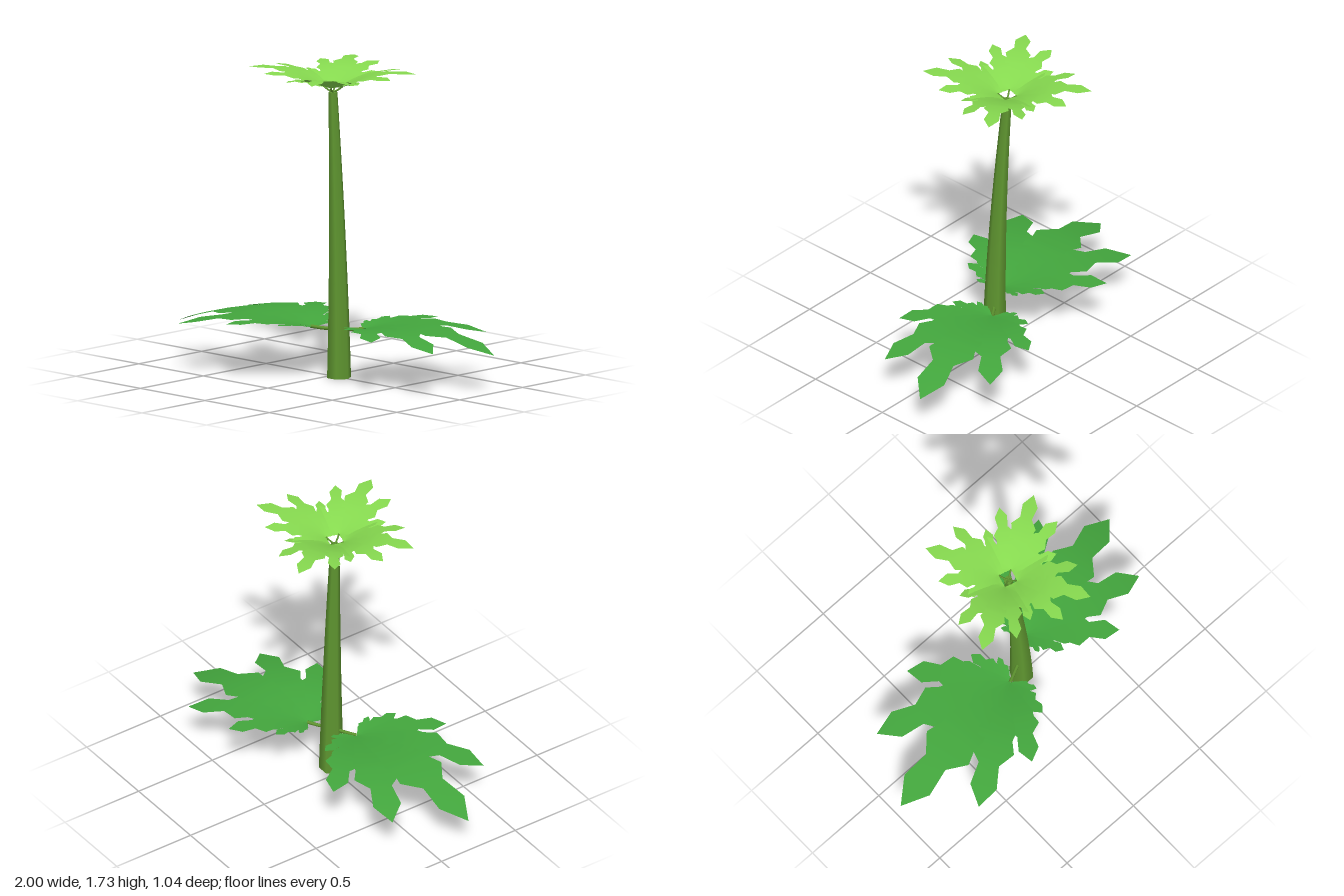
import * as THREE from 'three';

const rad = THREE.MathUtils.degToRad;
const material = (color, extra = {}) =>
  new THREE.MeshStandardMaterial({ color, ...extra });
const stemGreen = material(0x5f9630);
const darkLeaf = material(0x43a63d, { side: THREE.DoubleSide });
const lightLeaf = material(0x86d94f, { side: THREE.DoubleSide });

// Stem centreline: bends gently as it rises
const STEM_HEIGHT = 1.6;
function stemCentre(y) {
  const k = Math.pow(Math.max(y, 0) / STEM_HEIGHT, 1.8);
  return new THREE.Vector3(0.07 - 0.075 * k, y, 0.005 - 0.028 * k);
}

// Six-sided tapering stem with corners to the left and right
function makeStem() {
  const geo = new THREE.CylinderGeometry(0.026, 0.069, STEM_HEIGHT, 6, 12);
  geo.rotateY(Math.PI / 2);
  geo.translate(0, STEM_HEIGHT / 2, 0);
  const p = geo.attributes.position;
  for (let i = 0; i < p.count; i++) {
    const c = stemCentre(p.getY(i));
    p.setXYZ(i, p.getX(i) + c.x, p.getY(i), p.getZ(i) + c.z);
  }
  const stem = new THREE.Mesh(geo, stemGreen);
  stem.name = 'stem';
  return stem;
}

// Toothed lobe profile: [fraction of length, half width / length]
const PROFILE = [
  [0, 0.01], [0.12, 0.055], [0.28, 0.09], [0.41, 0.14], [0.47, 0.13],
  [0.57, 0.165], [0.68, 0.077], [0.85, 0.1], [1, 0],
];

// Lobes of one palm-shaped leaf: [angle, length, width factor]
const LOBES = [
  [0, 0.84, 1],
  [27.5, 0.68, 1], [-27.5, 0.72, 1],
  [55, 0.45, 1.15], [-55, 0.52, 1.1],
  [84, 0.24, 1.25], [-84, 0.24, 1.25],
  [114, 0.14, 1.2], [-114, 0.14, 1.2],
];

// Each lobe is a strip of left, middle and right points arched over the leaf centre
function lobeGeometry([angle, length, widthFactor], lift) {
  const points = [], index = [];
  const c = Math.cos(rad(angle)), s = Math.sin(rad(angle));
  PROFILE.forEach(([t, w], i) => {
    for (const side of [1, 0, -1]) {
      const u = t * length, v = side * w * length * widthFactor;
      const r = Math.hypot(u, v);
      points.push(u * c - v * s, 0.27 * r - 0.42 * r * r + lift, -(u * s + v * c));
    }
    if (i === 0) return;
    const a = (i - 1) * 3, b = i * 3;
    for (const k of [0, 1])
      index.push(a + k, a + k + 1, b + k, a + k + 1, b + k + 1, b + k);
  });
  const geo = new THREE.BufferGeometry();
  geo.setAttribute('position', new THREE.Float32BufferAttribute(points, 3));
  geo.setIndex(index);
  geo.computeVertexNormals();
  return geo;
}

const lobeGeometries = LOBES.map((lobe, i) => lobeGeometry(lobe, -0.001 * i));

function makeLeaf(name, mat, centre, heading, tilt, scale) {
  const leaf = new THREE.Group();
  leaf.name = name;
  lobeGeometries.forEach((geo) => {
    const lobe = new THREE.Mesh(geo, mat);
    lobe.name = 'leafLobe';
    leaf.add(lobe);
  });
  leaf.position.copy(centre);
  leaf.rotation.set(0, rad(heading), rad(tilt), 'YXZ');
  leaf.scale.setScalar(scale);
  return leaf;
}

function makeStalk(from, to, radius) {
  const mid = from.clone().lerp(to, 0.5);
  mid.y -= 0.004;
  const curve = new THREE.CatmullRomCurve3([from, mid, to]);
  const stalk = new THREE.Mesh(new THREE.TubeGeometry(curve, 6, radius, 6), stemGreen);
  stalk.name = 'leafStalk';
  return stalk;
}

export function createModel() {
  const plant = new THREE.Group();
  plant.name = 'plant';
  plant.add(makeStem());

  // Two large dark leaves low on the stem
  const lower = [
    ['lowerLeftLeaf', new THREE.Vector3(0.18, 0.279, -0.08), 13.8, 1],
    ['lowerRightLeaf', new THREE.Vector3(-0.08, 0.28, 0.075), 186.6, 1.105],
  ];
  for (const [name, centre, heading, scale] of lower) {
    plant.add(makeLeaf(name, darkLeaf, centre, heading, 0, scale));
    plant.add(makeStalk(stemCentre(0.275), centre, 0.01));
  }

  // Rosette of four light leaves tilted upward around the stem tip
  const top = stemCentre(STEM_HEIGHT);
  for (let i = 0; i < 4; i++) {
    const heading = 30 + 90 * i, a = rad(heading);
    const centre = top.clone().add(
      new THREE.Vector3(Math.cos(a) * 0.055, 0.034, -Math.sin(a) * 0.055));
    plant.add(makeLeaf('topLeaf', lightLeaf, centre, heading, 16.5, 0.515));
    plant.add(makeStalk(top, centre, 0.005));
  }
  return plant;
}
